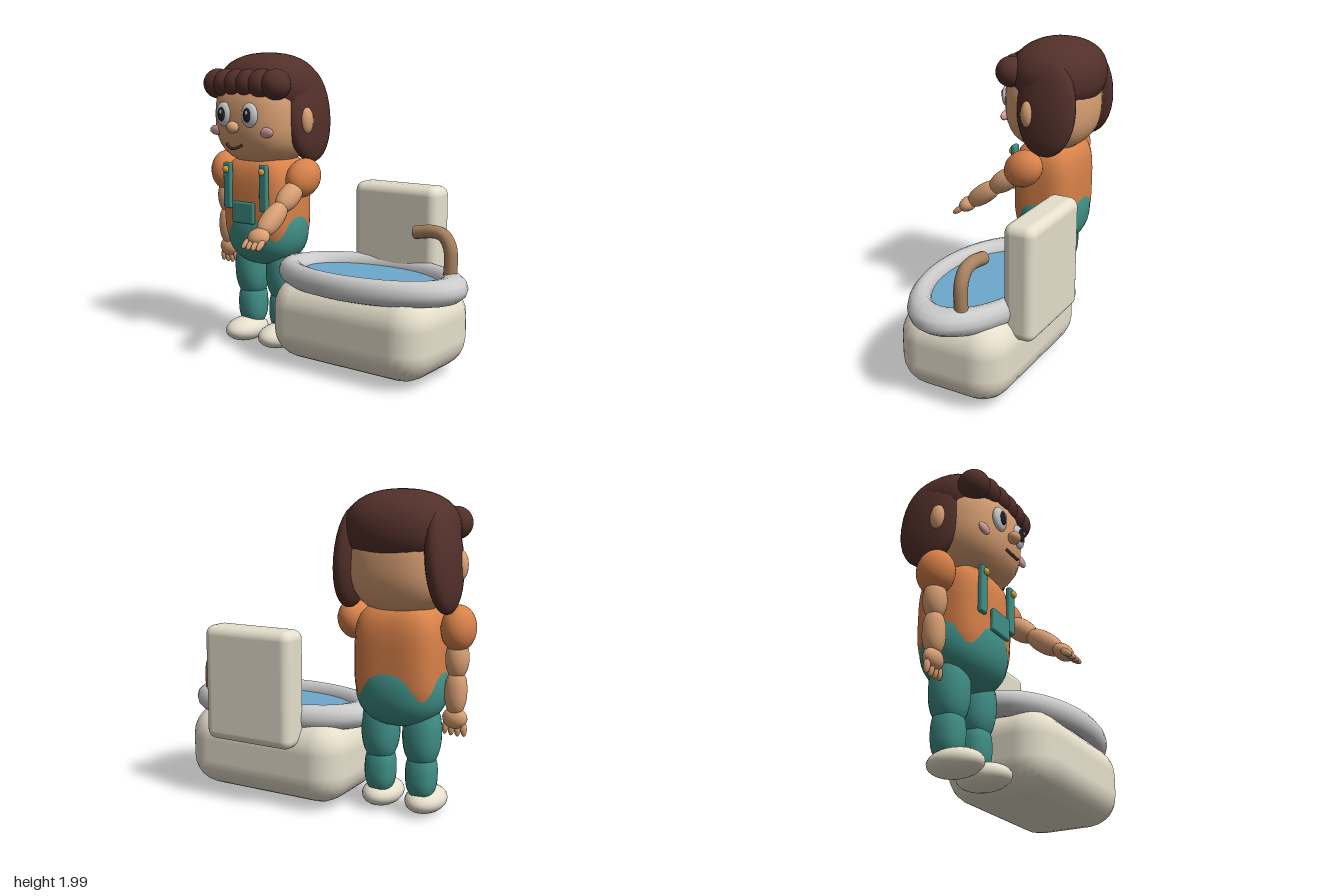
import * as THREE from 'three';
import { mergeVertices } from 'three/addons/utils/BufferGeometryUtils.js';
import { RoundedBoxGeometry } from 'three/addons/geometries/RoundedBoxGeometry.js';

const paint = (color) => new THREE.MeshStandardMaterial({ color });
const skin = paint(0xd9a074), hair = paint(0x53302a), orange = paint(0xd9824a), teal = paint(0x3f8f86);
const cream = paint(0xe6dfcc), white = paint(0xeeeeee), dark = paint(0x202024), gold = paint(0xd8ae45);
const pink = paint(0xdca0a0), water = paint(0x6ea8cc), wood = paint(0xa88260);

function add(parent, name, geometry, material, x = 0, y = 0, z = 0) {
  const mesh = new THREE.Mesh(geometry, material);
  mesh.name = name;
  mesh.position.set(x, y, z);
  parent.add(mesh);
  return mesh;
}

// Ellipsoid with radii r; n above 2 makes it boxier
function blob(r, n = 2, seg = 24) {
  let g = new THREE.SphereGeometry(1, seg, Math.round(seg * 0.67));
  const p = g.attributes.position;
  for (let i = 0; i < p.count; i++) {
    const v = [p.getX(i), p.getY(i), p.getZ(i)];
    const k = v.reduce((s, c) => s + Math.abs(c) ** n, 0) ** (-1 / n);
    p.setXYZ(i, v[0] * k * r[0], v[1] * k * r[1], v[2] * k * r[2]);
  }
  g.deleteAttribute('uv');
  g.deleteAttribute('normal');
  g = mergeVertices(g, 1e-5);
  g.computeVertexNormals();
  return g;
}

// Arm hanging down from the shoulder at its origin
function makeArm(name) {
  const arm = new THREE.Group();
  arm.name = name;
  add(arm, 'sleeve', blob([0.105, 0.14, 0.12]), orange);
  add(arm, 'upperArm', blob([0.072, 0.13, 0.072]), skin, 0, -0.18);
  add(arm, 'forearm', blob([0.066, 0.14, 0.066], 2.3), skin, 0, -0.385);
  add(arm, 'hand', blob([0.078, 0.065, 0.05]), skin, 0, -0.545);
  for (let i = 0; i < 4; i++) {
    const s = i - 1.5;
    const finger = add(arm, 'finger', blob([0.02, 0.05, 0.021], 2, 12), skin, s * 0.039, -0.61 + Math.abs(s) * 0.005, 0);
    finger.rotation.z = s * 0.06;
  }
  return arm;
}

function makeHead() {
  const head = new THREE.Group();
  head.name = 'head';
  add(head, 'face', blob([0.32, 0.32, 0.3], 2.6, 32), skin, 0, 1.57, -0.05);
  add(head, 'hairCap', blob([0.35, 0.235, 0.3], 2.25, 28), hair, 0, 1.755, -0.085);
  // Fringe rolls
  for (let i = 0; i < 6; i++) {
    const s = i - 2.5;
    add(head, 'fringe', blob([0.1, 0.1, 0.1]), hair, s * 0.1, 1.785, 0.16 - s * s * 0.003);
  }
  for (const s of [-1, 1]) {
    const lock = add(head, 'sideHair', blob([0.085, 0.315, 0.205], 2.1), hair, s * 0.295, 1.585, -0.14);
    lock.rotation.z = s * 0.09;
    add(head, 'ear', blob([0.045, 0.09, 0.05], 2, 16), skin, s * 0.355, 1.55, -0.04);
    add(head, 'eye', blob([0.066, 0.08, 0.03]), white, s * 0.112, 1.59, 0.24);
    add(head, 'pupil', blob([0.031, 0.046, 0.014], 2, 16), dark, s * 0.112, 1.59, 0.267);
    add(head, 'eyeGlint', blob([0.01, 0.014, 0.006], 2, 10), white, s * 0.112 + 0.008, 1.606, 0.28);
    add(head, 'cheek', blob([0.062, 0.034, 0.018], 2, 16), pink, s * 0.215, 1.48, 0.2);
  }
  add(head, 'nose', blob([0.043, 0.04, 0.04], 2, 18), skin, 0, 1.51, 0.28);
  const smile = new THREE.CatmullRomCurve3([[-0.07, 1.4, 0.26], [-0.035, 1.38, 0.275], [0, 1.373, 0.282],
    [0.035, 1.38, 0.275], [0.07, 1.4, 0.26]].map((p) => new THREE.Vector3(...p)));
  add(head, 'mouth', new THREE.TubeGeometry(smile, 16, 0.01, 8), hair);
  return head;
}

function makeFigure() {
  const figure = new THREE.Group();
  figure.name = 'figure';
  figure.add(makeHead());

  add(figure, 'shirt', blob([0.27, 0.34, 0.22], 3.8, 32), orange, 0, 0.98, -0.06);
  add(figure, 'trousers', blob([0.287, 0.25, 0.235], 2.3, 32), teal, 0, 0.805, -0.06);
  add(figure, 'pocket', new RoundedBoxGeometry(0.19, 0.145, 0.03, 2, 0.014), teal, 0, 0.94, 0.185);

  for (const s of [-1, 1]) {
    add(figure, 'strap', new RoundedBoxGeometry(0.065, 0.31, 0.035, 2, 0.012), teal, s * 0.158, 1.11, 0.16);
    add(figure, 'button', blob([0.024, 0.024, 0.016], 2, 14), gold, s * 0.158, 1.22, 0.185);
    add(figure, 'thigh', blob([0.118, 0.22, 0.118], 2.3), teal, s * 0.14, 0.52, -0.06);
    add(figure, 'shin', blob([0.095, 0.16, 0.095], 2.6), teal, s * 0.14, 0.26, -0.06);
    add(figure, 'shoe', blob([0.125, 0.083, 0.175]), cream, s * 0.148, 0.083, 0);
  }

  const rightArm = makeArm('rightArm');
  rightArm.position.set(-0.352, 1.18, -0.04);
  rightArm.rotation.z = 0.02;
  const leftArm = makeArm('leftArm');
  leftArm.position.set(0.352, 1.18, -0.01);
  leftArm.rotation.set(-0.92, 0, -0.02);
  figure.add(rightArm, leftArm);
  figure.position.x = -0.54;
  return figure;
}

function makeBasin() {
  const basin = new THREE.Group();
  basin.name = 'basin';
  add(basin, 'bowl', new RoundedBoxGeometry(1.16, 0.54, 0.74, 3, 0.2), cream, 0.31, 0.3, -0.05);
  add(basin, 'tank', new RoundedBoxGeometry(0.63, 0.735, 0.205, 4, 0.06), cream, 0.315, 0.775, -0.41);

  const rimShape = new THREE.TorusGeometry(0.325, 0.058, 12, 36).rotateX(Math.PI / 2);
  const rim = add(basin, 'rim', rimShape, white, 0.325, 0.582, -0.03);
  rim.scale.set(1.76, 1.4, 1);
  const pool = add(basin, 'water', new THREE.CylinderGeometry(1, 1, 0.04, 36), water, 0.325, 0.58, -0.03);
  pool.scale.set(0.53, 1, 0.3);

  // Curved spout with closed ends
  const path = new THREE.CatmullRomCurve3([[0.825, 0.58], [0.835, 0.72], [0.825, 0.82], [0.78, 0.885], [0.71, 0.9], [0.58, 0.882]]
    .map(([x, y]) => new THREE.Vector3(x, y, -0.16)));
  add(basin, 'spout', new THREE.TubeGeometry(path, 28, 0.042, 12), wood);
  const mouth = add(basin, 'spoutEnd', new THREE.CircleGeometry(0.042, 12), wood, 0.58, 0.882, -0.16);
  mouth.lookAt(path.getPoint(1).add(path.getTangent(1)));
  return basin;
}

export function createModel() {
  const model = new THREE.Group();
  model.name = 'figureWithBasin';
  model.add(makeFigure(), makeBasin());
  return model;
}
